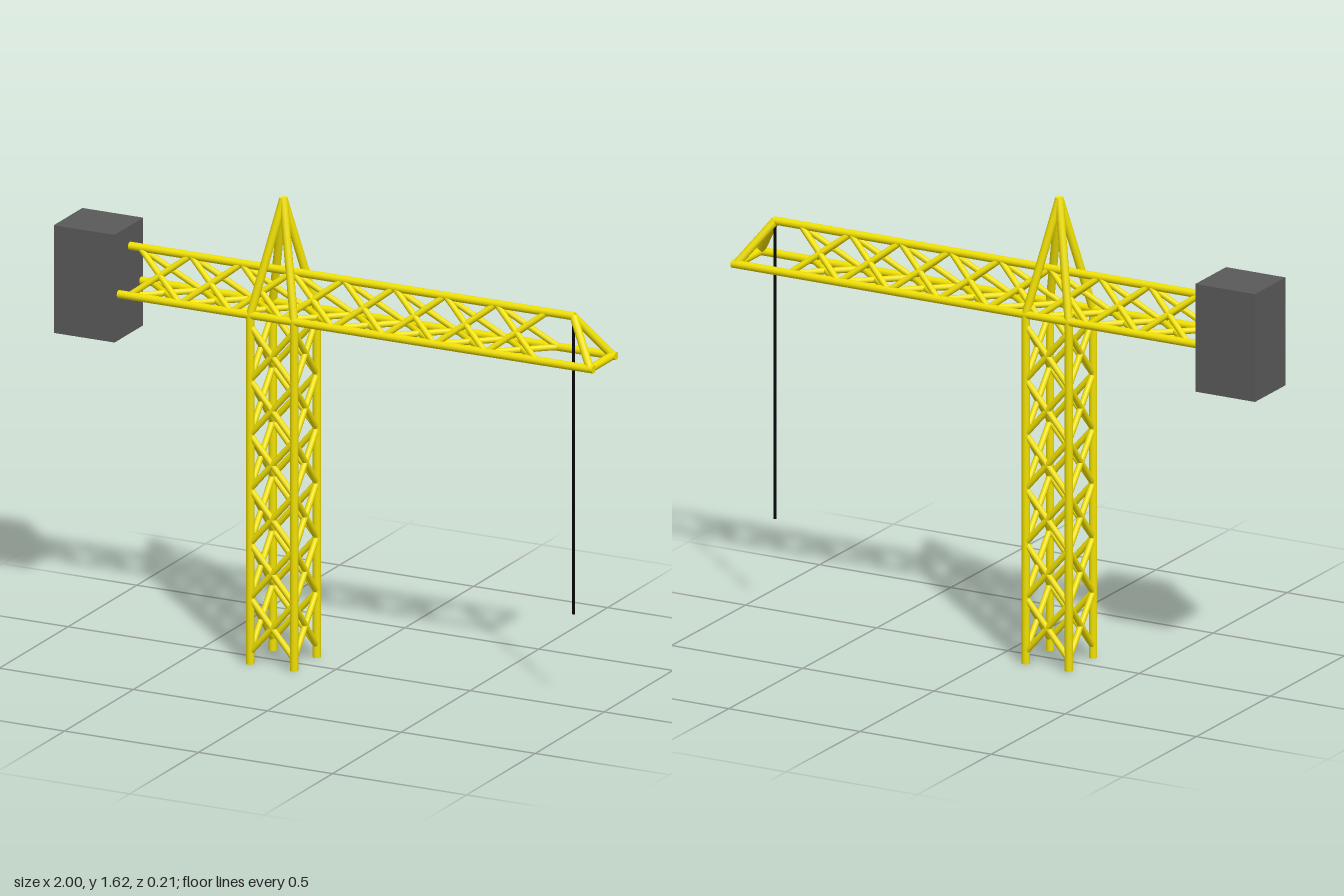
import * as THREE from 'three';

const yellow = new THREE.MeshStandardMaterial({ color: 0xf0e000 });
const darkGrey = new THREE.MeshStandardMaterial({ color: 0x5a5a5a });
const black = new THREE.MeshStandardMaterial({ color: 0x050505 });

const MAST_X = -0.2, Z0 = -0.007, HALF = 0.082; // mast centre and half spacing of the chords
const LOW = 1.217, HIGH = 1.362;                // boom chord heights
const R = 0.014, BRACE = 0.0105, BAY = 0.19;

// Round bar between two points
function bar(parent, name, a, b, radius = R, material = yellow) {
  const from = new THREE.Vector3(...a), to = new THREE.Vector3(...b);
  const dir = to.clone().sub(from);
  const mesh = new THREE.Mesh(new THREE.CylinderGeometry(radius, radius, dir.length(), 12), material);
  mesh.position.copy(from).add(to).multiplyScalar(0.5);
  mesh.quaternion.setFromUnitVectors(new THREE.Vector3(0, 1, 0), dir.normalize());
  mesh.name = name;
  parent.add(mesh);
}

// Row of crossed braces between two parallel chords; p(t) and q(t) give points on them
function crossBraces(parent, name, p, q, start, count) {
  for (let i = 0; i < count; i++) {
    const s = start + i * BAY, e = s + BAY;
    bar(parent, name, p(s), q(e), BRACE);
    bar(parent, name, q(s), p(e), BRACE);
  }
}

function group(parent, name) {
  const g = new THREE.Group();
  g.name = name;
  parent.add(g);
  return g;
}

export function createModel() {
  const crane = new THREE.Group();
  crane.name = 'towerCrane';

  // Mast: four legs, braced on each side, with a pyramid on top
  const mast = group(crane, 'mast');
  const peak = group(crane, 'peak');
  const corners = [[-1, -1], [1, -1], [1, 1], [-1, 1]].map(
    ([x, z]) => (y) => [MAST_X + x * HALF, y, Z0 + z * HALF]);
  corners.forEach((leg, i) => {
    bar(mast, 'mastLeg', leg(0), leg(LOW));
    crossBraces(mast, 'mastBrace', leg, corners[(i + 1) % 4], 0.04, 6);
    bar(peak, 'peakStrut', leg(LOW), [MAST_X, 1.612, Z0]);
  });

  // Boom: triangular truss along x
  const boom = group(crane, 'boom');
  const top = (x) => [x, HIGH, Z0];
  const front = (x) => [x, LOW, Z0 + HALF];
  const back = (x) => [x, LOW, Z0 - HALF];
  const TAIL = -0.775, TIP = 0.883, NOSE = 0.986;
  bar(boom, 'upperChord', top(TAIL), top(TIP + 0.005));
  for (const chord of [front, back]) {
    bar(boom, 'lowerChord', chord(TAIL), chord(1));
    bar(boom, 'noseStrut', top(TIP), chord(NOSE));
  }
  bar(boom, 'noseCrossbar', back(NOSE), front(NOSE));
  for (const [p, q] of [[top, front], [top, back], [front, back]]) {
    crossBraces(boom, 'boomBrace', p, q, -0.735, 8);
  }

  // Counterweight block at the tail
  const weight = new THREE.Mesh(new THREE.BoxGeometry(0.227, 0.376, 0.208), darkGrey);
  weight.position.set(-0.8865, 1.244, 0);
  weight.name = 'counterweight';
  crane.add(weight);

  // Hoist cable
  bar(crane, 'hoistCable', [TIP, 0.322, Z0], [TIP, HIGH, Z0], 0.005, black);

  return crane;
}
